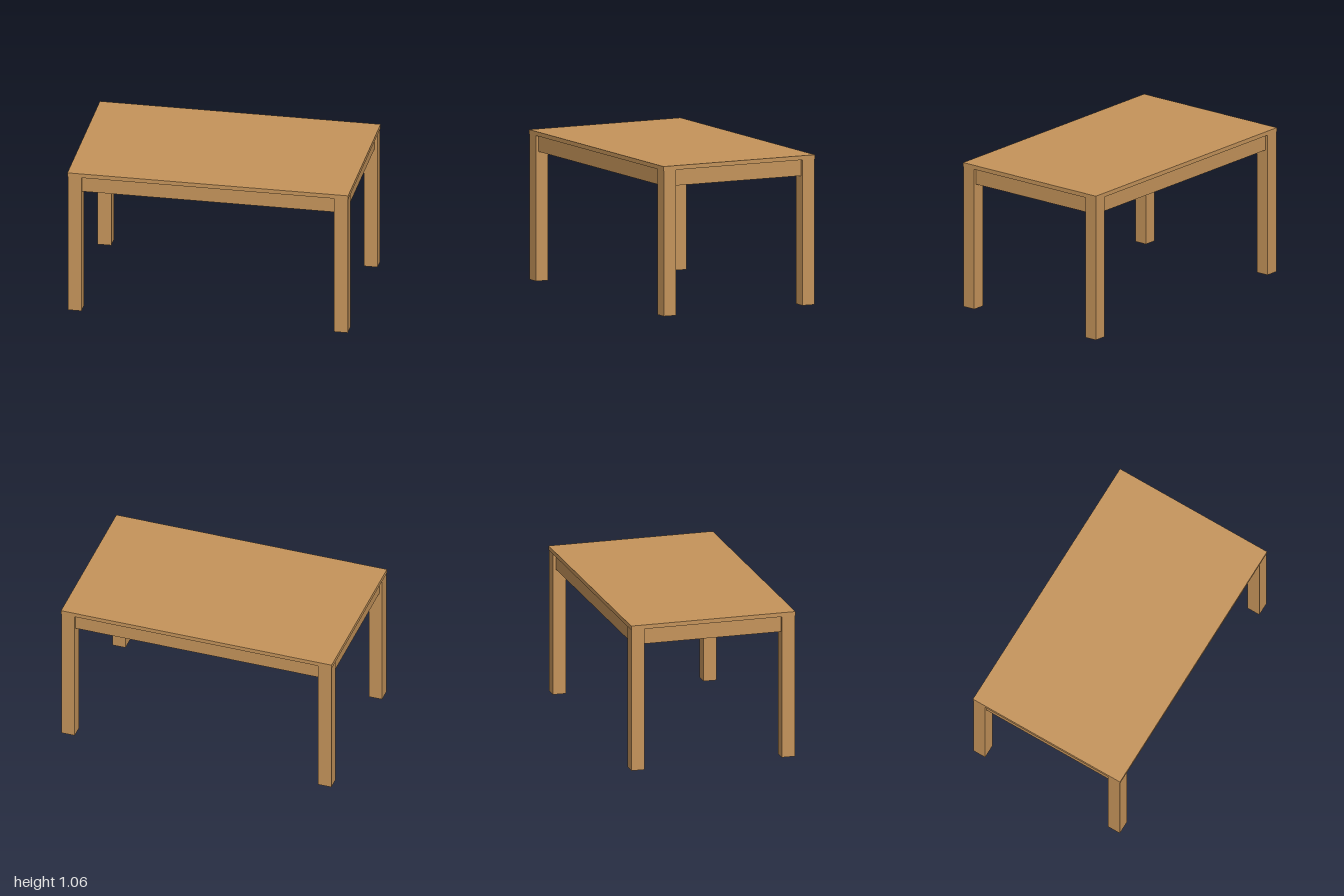
import * as THREE from 'three';

export function createModel() {
  const table = new THREE.Group();
  table.name = 'table';
  const wood = new THREE.MeshStandardMaterial({ color: 0xc4935a });
  wood.name = 'wood';

  const box = (name, w, h, d, x, y, z) => {
    const mesh = new THREE.Mesh(new THREE.BoxGeometry(w, h, d), wood);
    mesh.name = name;
    mesh.position.set(x, y, z);
    table.add(mesh);
  };

  const topY = 1.03, topThickness = 0.03; // underside and thickness of the slab
  const outX = 0.997, outZ = 0.597; // outer leg faces
  const inX = 0.9, inZ = 0.502; // inner leg faces
  const inset = 0.02, board = 0.02, apronH = 0.115;

  box('tabletop', 2, topThickness, 1.2, 0, topY + topThickness / 2, 0);

  for (const s of [-1, 1]) {
    const side = s > 0 ? 'left' : 'right';
    const end = s > 0 ? 'front' : 'back';

    // Legs
    for (const t of [-1, 1]) {
      box(`${side}${t > 0 ? 'Front' : 'Back'}Leg`, outX - inX, topY, outZ - inZ,
        s * (outX + inX) / 2, topY / 2, t * (outZ + inZ) / 2);
    }

    // Thin apron boards set back from the leg faces
    const y = topY - apronH / 2;
    box(`${end}Apron`, 2 * inX, apronH, board, 0, y, s * (outZ - inset - board / 2));
    box(`${side}Apron`, board, apronH, 2 * inZ, s * (outX - inset - board / 2), y, 0);
  }
  return table;
}
